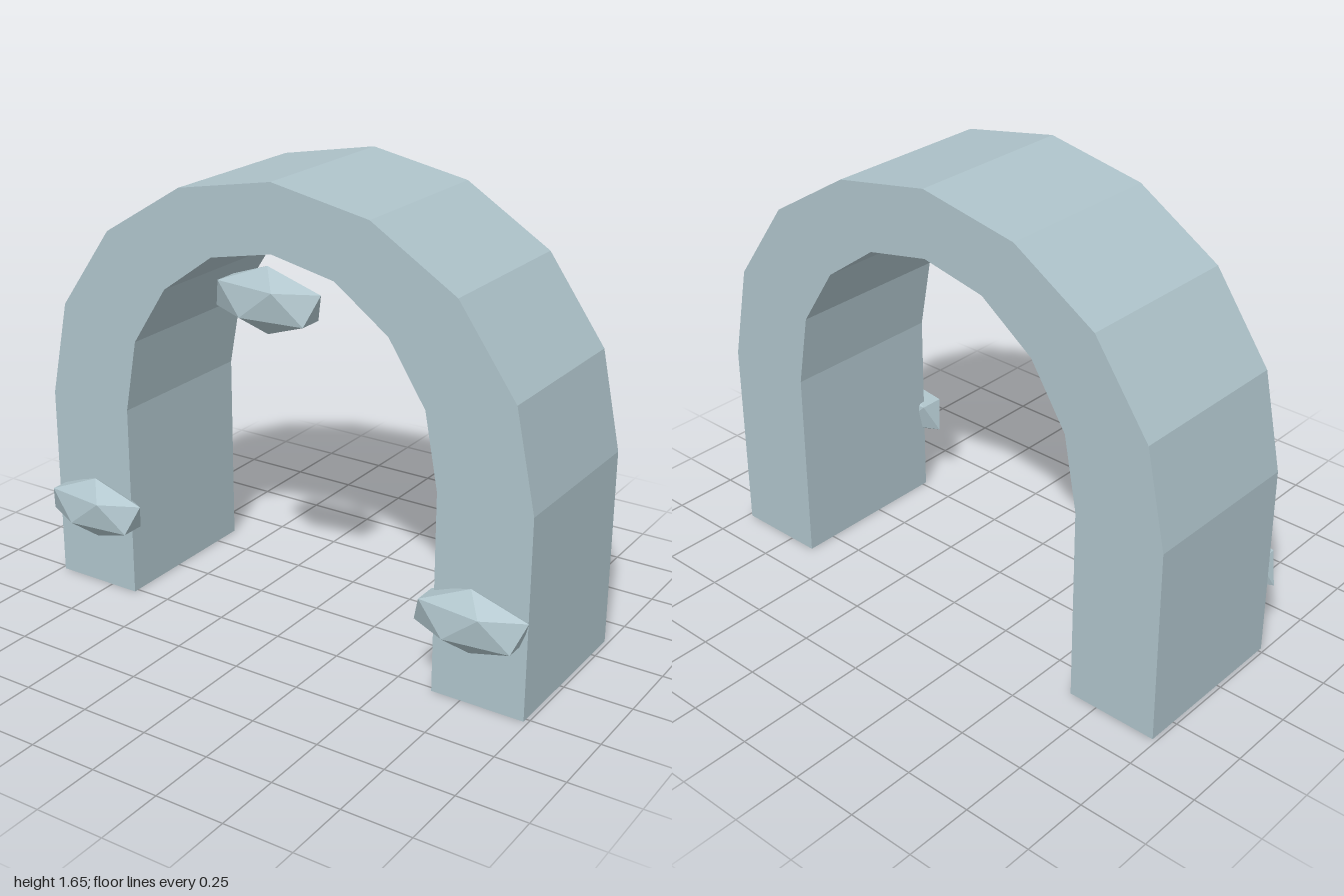
import * as THREE from 'three';
import { ConvexGeometry } from 'three/addons/geometries/ConvexGeometry.js';

export function createModel() {
  const group = new THREE.Group();
  const stone = new THREE.MeshStandardMaterial({ color: 0xaec3ca });
  stone.name = 'pale blue stone';
  stone.flatShading = true;

  // Half profiles from the foot up to the crown
  const outer = [[0.985, 0], [0.985, 0.73], [0.91, 1.085], [0.695, 1.388], [0.375, 1.585], [0, 1.655]];
  const inner = [[0.64, 0], [0.64, 0.73], [0.59, 1.0], [0.45, 1.217], [0.245, 1.365], [0, 1.415]];
  const span = (half) => [...half, ...half.slice(0, -1).reverse().map(([x, y]) => [-x, y])];

  // Arch: outer curve over, inner curve back
  const outline = [...span(outer), ...span(inner).reverse()];
  const shape = new THREE.Shape(outline.map(([x, y]) => new THREE.Vector2(x, y)));
  const archGeometry = new THREE.ExtrudeGeometry(shape, { depth: 0.63, bevelEnabled: false });
  archGeometry.translate(0, 0, -0.362);
  const arch = new THREE.Mesh(archGeometry, stone);
  arch.name = 'arch';
  group.add(arch);

  // Gem: a stretched icosahedron standing on one point
  const points = [new THREE.Vector3(0, 1, 0), new THREE.Vector3(0, -1, 0)];
  for (let i = 0; i < 5; i++) {
    const a = (i * Math.PI * 2) / 5;
    const x = 0.894 * Math.cos(a), z = 0.894 * Math.sin(a);
    points.push(new THREE.Vector3(x, 0.447, z), new THREE.Vector3(-x, -0.447, -z));
  }
  const gemGeometry = new ConvexGeometry(points);
  gemGeometry.scale(0.234, 0.117, 0.086);

  for (const [name, x, y] of [['rightGem', -0.79, 0.318], ['leftGem', 0.787, 0.318], ['crownGem', 0, 1.265]]) {
    const gem = new THREE.Mesh(gemGeometry, stone);
    gem.name = name;
    gem.position.set(x, y, 0.289);
    group.add(gem);
  }
  return group;
}
